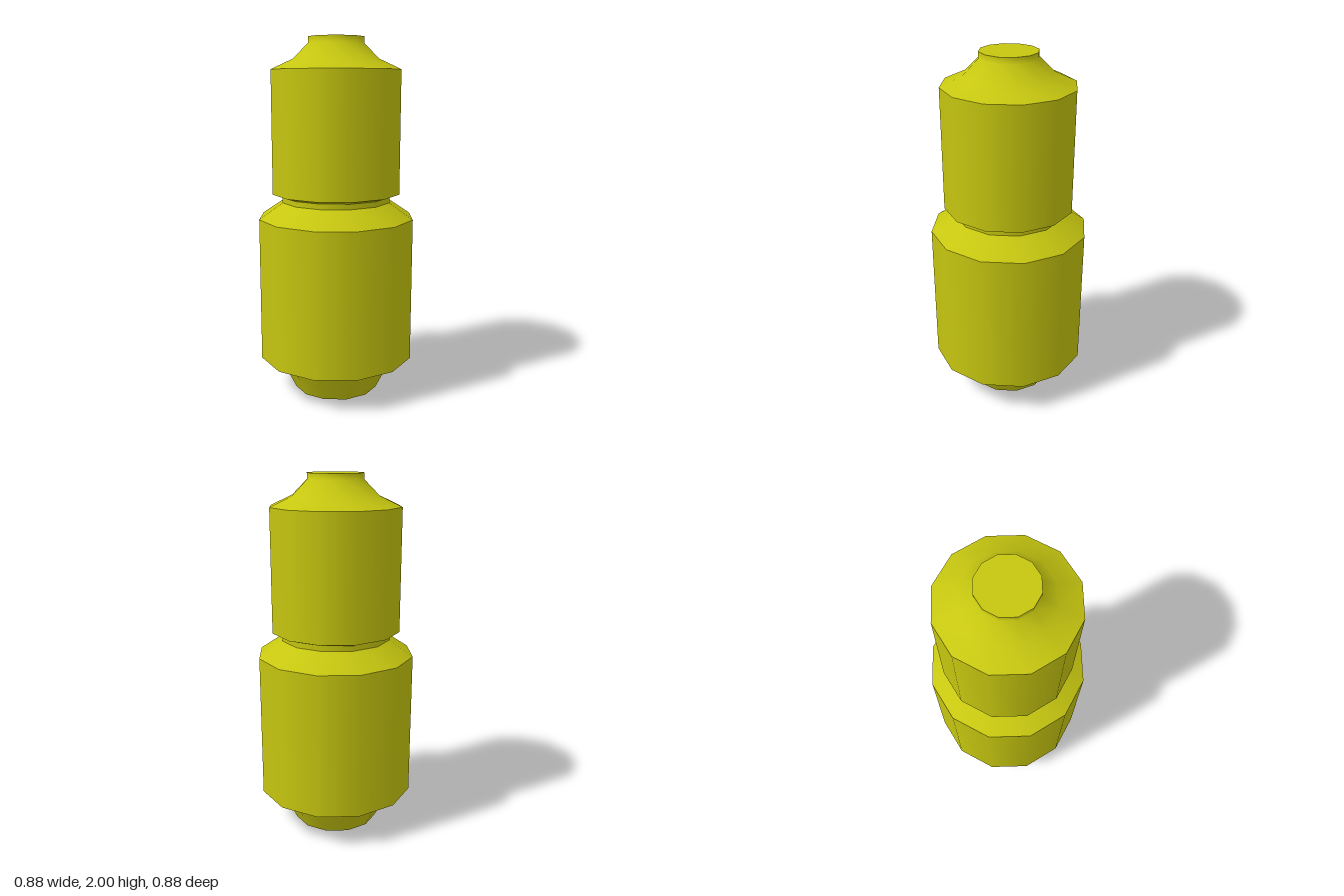
import * as THREE from 'three';

const SIDES = 12;

export function createModel() {
  const model = new THREE.Group();
  model.name = 'steppedCapsule';
  const material = new THREE.MeshStandardMaterial({ color: 0xc6c610 });

  // Each part is a list of smooth [radius, height] bands; edges between bands stay sharp.
  const parts = {
    base: [
      [[0, 0], [0.24, 0]],
      [[0.24, 0], [0.33, 0.18]],
    ],
    lowerBody: [
      [[0.33, 0.18], [0.44, 0.2]],
      [[0.44, 0.2], [0.44, 1.01]],
      [[0.44, 1.01], [0.307, 1.1]],
    ],
    groove: [
      [[0.307, 1.1], [0.307, 1.13]],
    ],
    upperBody: [
      [[0.307, 1.13], [0.362, 1.148]],
      [[0.362, 1.148], [0.362, 1.826]],
    ],
    shoulderAndNeck: [
      [[0.362, 1.826], [0.24, 1.882], [0.157, 1.965], [0.157, 2]],
      [[0.157, 2], [0, 2]],
    ],
  };

  for (const [name, bands] of Object.entries(parts)) {
    const part = new THREE.Group();
    part.name = name;
    bands.forEach((band, i) => {
      const profile = band.map(([r, y]) => new THREE.Vector2(r, y));
      const mesh = new THREE.Mesh(new THREE.LatheGeometry(profile, SIDES), material);
      mesh.name = `${name}Band${i + 1}`;
      part.add(mesh);
    });
    model.add(part);
  }
  return model;
}
